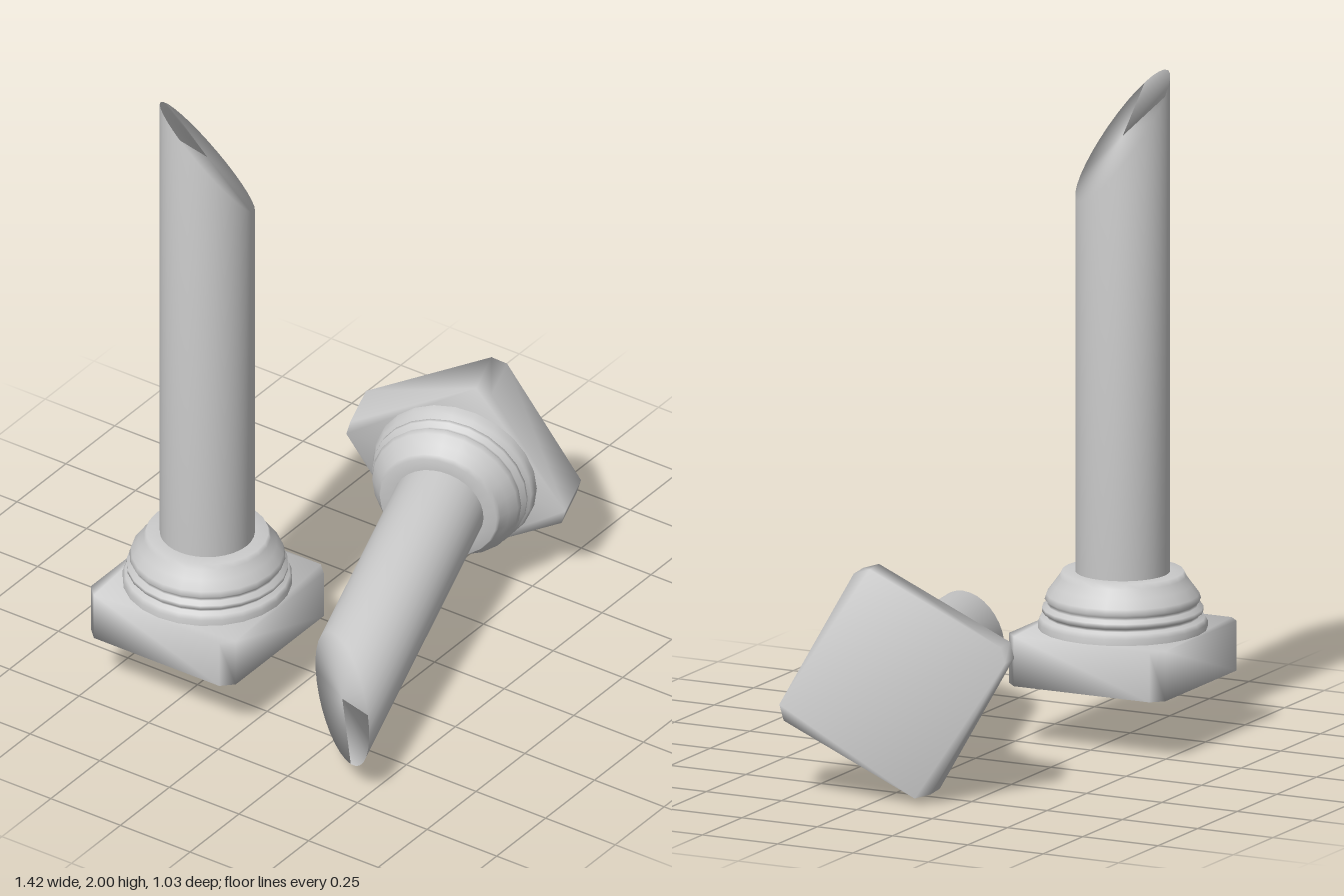
import * as THREE from 'three';
import { mergeVertices } from 'three/addons/utils/BufferGeometryUtils.js';

const material = new THREE.MeshStandardMaterial({ color: 0xcccccc });

function add(group, name, geometry) {
  const mesh = new THREE.Mesh(geometry, material);
  mesh.name = name;
  group.add(mesh);
}

// Weld all vertices so shading runs softly over the edges
function soften(geometry) {
  geometry.deleteAttribute('normal');
  geometry.deleteAttribute('uv');
  const welded = mergeVertices(geometry, 1e-4);
  welded.computeVertexNormals();
  return welded;
}

// Square block with clipped corners
function plinthGeometry() {
  const s = 0.26, c = 0.225;
  const outline = [[s, -c], [s, c], [c, s], [-c, s], [-s, c], [-s, -c], [-c, -s], [c, -s]];
  const shape = new THREE.Shape(outline.map(([x, y]) => new THREE.Vector2(x, y)));
  const geometry = new THREE.ExtrudeGeometry(shape, { depth: 0.15, bevelEnabled: false });
  geometry.rotateX(-Math.PI / 2);
  return soften(geometry);
}

// Turned mouldings between plinth and shaft
function collarGeometry() {
  const profile = [
    [0.25, 0.14], [0.25, 0.168], [0.243, 0.182], [0.226, 0.186], [0.228, 0.194],
    [0.238, 0.2], [0.238, 0.212], [0.222, 0.22], [0.222, 0.228], [0.23, 0.237],
    [0.225, 0.253], [0.205, 0.28], [0.187, 0.305], [0.18, 0.32], [0.13, 0.32],
  ];
  return new THREE.LatheGeometry(profile.map(([r, y]) => new THREE.Vector2(r, y)), 24);
}

// Shaft snapped off along a slanted plane: height = mid + gx * x + gz * z
function shaftGeometry(mid, gx, gz) {
  const bottom = 0.1;
  const geometry = new THREE.CylinderGeometry(0.14, 0.14, 1, 32);
  const p = geometry.attributes.position;
  for (let i = 0; i < p.count; i++) {
    p.setY(i, p.getY(i) > 0 ? mid + gx * p.getX(i) + gz * p.getZ(i) : bottom);
  }
  return soften(geometry);
}

function brokenColumn(name, mid, gx, gz) {
  const column = new THREE.Group();
  column.name = name;
  add(column, 'plinth', plinthGeometry());
  add(column, 'collar', collarGeometry());
  add(column, 'shaft', shaftGeometry(mid, gx, gz));
  return column;
}

export function createModel() {
  const model = new THREE.Group();
  model.name = 'brokenColumns';

  const standing = brokenColumn('standingColumn', 1.632, -0.95, -0.95);
  standing.position.set(-0.44, 0.18, -0.257);
  model.add(standing);

  // Toppled column, lying with its plinth tipped on a corner
  const fallen = brokenColumn('fallenColumn', 1.24, 1.0, -0.93);
  const up = new THREE.Vector3(-0.949, -0.112, 0.293).normalize();
  const side = new THREE.Vector3(0.235, -0.875, 0.426);
  side.addScaledVector(up, -side.dot(up)).normalize();
  const basis = new THREE.Matrix4().makeBasis(side, up, side.clone().cross(up));
  fallen.quaternion.setFromRotationMatrix(basis);
  fallen.position.set(0.594, 0.347, -0.035);
  model.add(fallen);

  return model;
}
